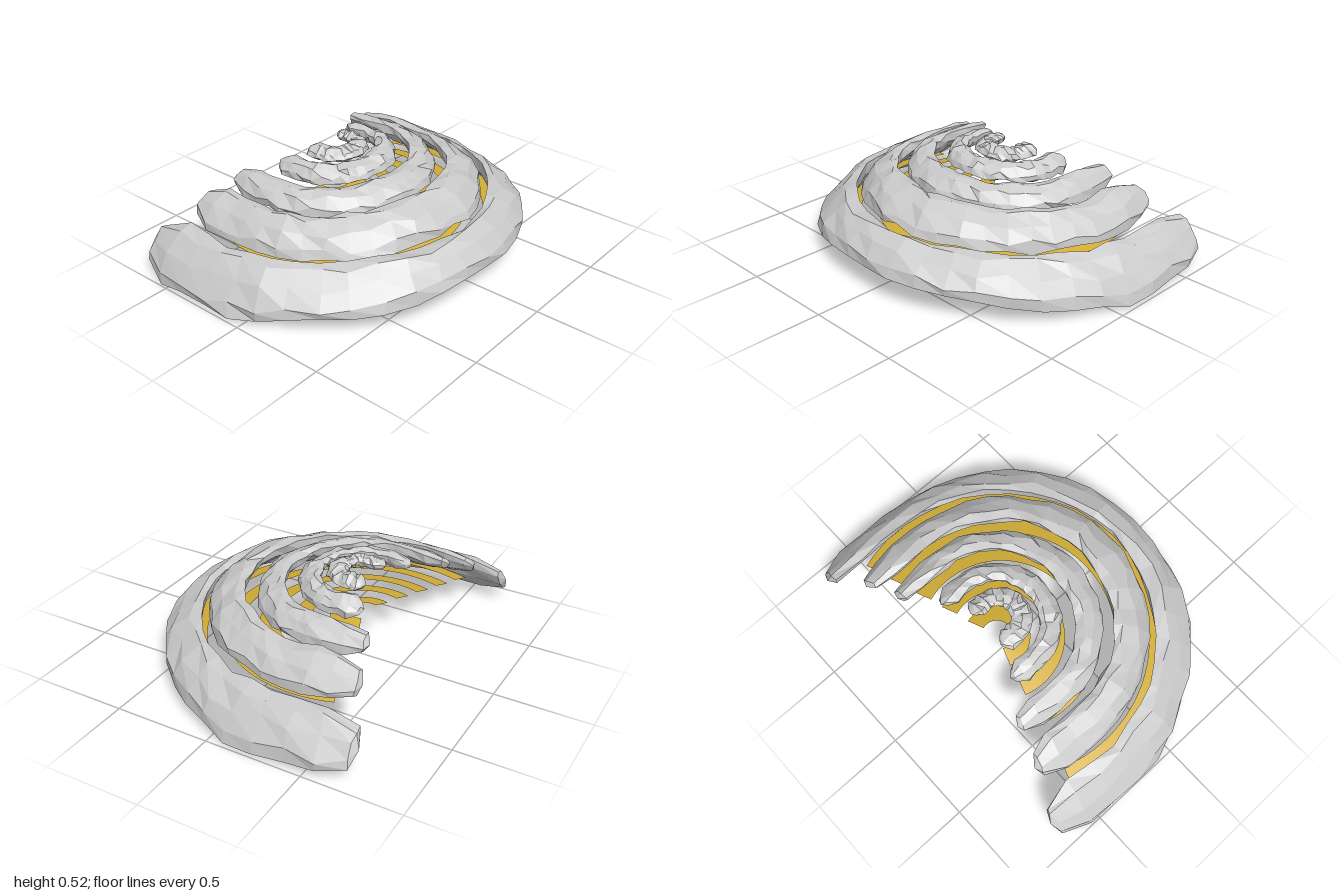
import * as THREE from 'three';

const SIDES = 8;      // corners of a rock cross-section
const STEPS = 26;     // sections along a rock arch
const CENTRE_Z = -0.26;

const rock = new THREE.MeshStandardMaterial({ color: 0xcccccc, flatShading: true });
const gold = new THREE.MeshStandardMaterial({ color: 0xd4af37, side: THREE.DoubleSide });

// Each arch: x = side radius, f = front radius, back = how far the arms run behind the centre.
// Pairs are [front value, side value]: y height, a half width, b half thickness, tilt in degrees.
const ARCHES = [
  { x: 0.895, f: 0.885, back: 0.43, y: [0.21, 0.138], a: [0.108, 0.155], b: [0.05, 0.046], tilt: [37, 51] },
  { x: 0.655, f: 0.665, back: 0.325, y: [0.345, 0.303], a: [0.115, 0.11], b: [0.044, 0.042], tilt: [32, 42] },
  { x: 0.46, f: 0.435, back: 0.262, y: [0.40, 0.387], a: [0.084, 0.076], b: [0.038, 0.04], tilt: [28, 40] },
  { x: 0.265, f: 0.245, back: 0.135, y: [0.45, 0.44], a: [0.062, 0.06], b: [0.032, 0.035], tilt: [25, 35] },
  { x: 0.112, f: 0.11, back: 0.07, y: [0.483, 0.48], a: [0.054, 0.052], b: [0.028, 0.028], tilt: [12, 15] },
];

function seeded(seed) {
  let s = seed * 7919 + 17;
  return () => (s = (s * 16807) % 2147483647) / 2147483647;
}

// Point on the horseshoe line, u from -1 (one tip) through 0 (front) to 1 (other tip)
function horseshoe(r, u) {
  const s = Math.abs(u), bend = 0.78;
  if (s < bend) {
    const p = (s / bend) * Math.PI / 2;
    return new THREE.Vector3(Math.sign(u) * r.x * Math.sin(p), 0, CENTRE_Z + r.f * Math.cos(p));
  }
  const t = (s - bend) / (1 - bend);
  return new THREE.Vector3(Math.sign(u) * r.x * (1 - 0.03 * t * t), 0, CENTRE_Z - r.back * t);
}

// Rough faceted slab swept along the horseshoe, leaning outward, with blunt closed tips
function rockArch(r, seed) {
  const rnd = seeded(seed), jitter = (v) => 1 + (rnd() - 0.5) * v;
  const pos = [], index = [];
  for (let i = 0; i <= STEPS; i++) {
    const u = -1 + (2 * i) / STEPS;
    const c = horseshoe(r, u);
    const t = horseshoe(r, Math.min(1, u + 0.02)).sub(horseshoe(r, Math.max(-1, u - 0.02))).normalize();
    const out = new THREE.Vector3(-t.z, 0, t.x);
    const w = Math.sin(Math.min(1, Math.abs(u) / 0.78) * Math.PI / 2) ** 2;
    const mix = ([front, side]) => front + (side - front) * w;
    const lean = THREE.MathUtils.degToRad(mix(r.tilt));
    const end = Math.min(i, STEPS - i);
    const size = [0.62, 1, 1][Math.min(end, 2)] * jitter(0.16);
    c.y = mix(r.y) + (rnd() - 0.5) * 0.2 * r.b[0];
    for (let k = 0; k < SIDES; k++) {
      const q = ((k + 0.5 * (rnd() - 0.5)) / SIDES) * Math.PI * 2;
      const e1 = Math.cos(q) * mix(r.a) * size * 1.03 * jitter(0.18);
      const e2 = Math.sin(q) * mix(r.b) * size * 1.06 * jitter(0.45);
      const n = e1 * Math.cos(lean) + e2 * Math.sin(lean);
      const h = e2 * Math.cos(lean) - e1 * Math.sin(lean);
      const slide = (rnd() - 0.5) * 0.45 * r.b[0];
      const p = c.clone().addScaledVector(out, n).addScaledVector(t, slide);
      pos.push(p.x, Math.max(0, p.y + h), p.z);
    }
  }
  for (let i = 0; i < STEPS; i++) {
    for (let k = 0; k < SIDES; k++) {
      const a = i * SIDES + k, b = i * SIDES + ((k + 1) % SIDES);
      index.push(a, a + SIDES, b, b, a + SIDES, b + SIDES);
    }
  }
  // Tips closed by a fan
  for (const [first, flip] of [[0, false], [STEPS * SIDES, true]]) {
    const tip = horseshoe(r, flip ? 1 : -1);
    const apex = pos.length / 3;
    pos.push(tip.x, r.y[1], tip.z - 0.6 * r.b[1]);
    for (let k = 0; k < SIDES; k++) {
      const a = first + k, b = first + ((k + 1) % SIDES);
      index.push(apex, flip ? b : a, flip ? a : b);
    }
  }
  const g = new THREE.BufferGeometry();
  g.setAttribute('position', new THREE.Float32BufferAttribute(pos, 3));
  g.setIndex(index);
  g.computeVertexNormals();
  return g;
}

// Thin conical band, its outer edge a little lower than its inner one
function goldBand(inner) {
  const half = Math.PI / 2 + THREE.MathUtils.degToRad(19);
  const profile = [new THREE.Vector2(inner + 0.092, 0), new THREE.Vector2(inner, 0.02)];
  return new THREE.LatheGeometry(profile, 48, -half, 2 * half);
}

export function createModel() {
  const model = new THREE.Group();
  model.name = 'tieredRockArches';

  ARCHES.forEach((r, i) => {
    const arch = new THREE.Mesh(rockArch(r, i + 3), rock);
    arch.name = 'rockArch' + (i + 1);
    model.add(arch);

    const band = new THREE.Mesh(goldBand(0.75 - 0.168 * i), gold);
    band.name = 'goldBand' + (i + 1);
    band.position.set(0, 0.128 + 0.028 * i, -0.235 - 0.012 * i);
    model.add(band);
  });
  return model;
}
